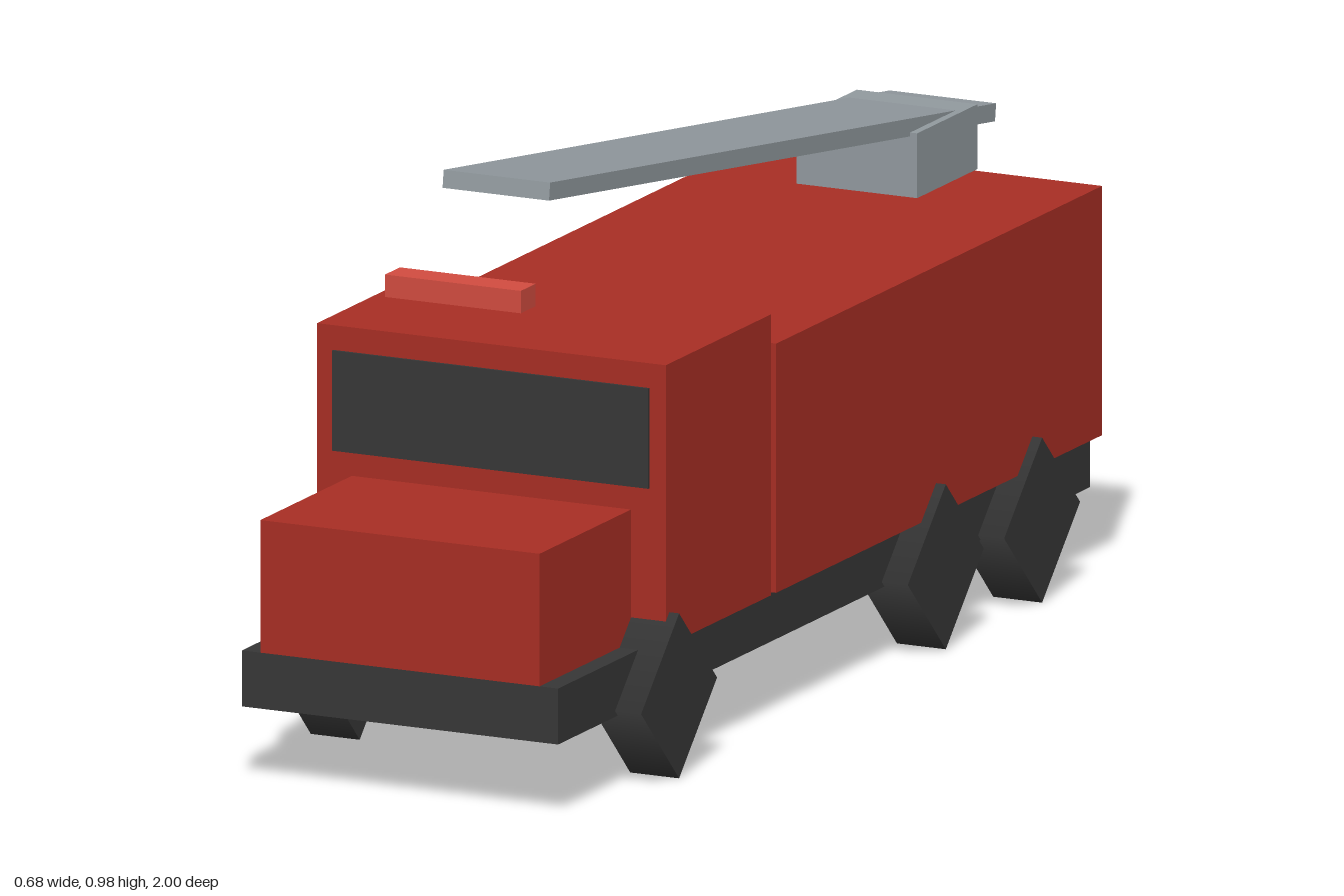
import * as THREE from 'three';

const paint = (name, color) => {
  const m = new THREE.MeshStandardMaterial({ color });
  m.name = name;
  return m;
};

export function createModel() {
  const truck = new THREE.Group();
  truck.name = 'ladderTruck';
  const red = paint('bodyRed', 0xa82e24);
  const lightRed = paint('lampRed', 0xd24c40);
  const dark = paint('charcoal', 0x373737);
  const grey = paint('ladderGrey', 0x929a9f);

  // Box given by its full width and its y and z ranges, centred on x
  const box = (name, mat, width, [y0, y1], [z0, z1]) => {
    const mesh = new THREE.Mesh(new THREE.BoxGeometry(width, y1 - y0, z1 - z0), mat);
    mesh.name = name;
    mesh.position.set(0, (y0 + y1) / 2, (z0 + z1) / 2);
    truck.add(mesh);
    return mesh;
  };

  // Chassis and bodywork
  box('chassis', dark, 0.582, [0.13, 0.225], [-0.96, 1.0]);
  box('hood', red, 0.514, [0.225, 0.45], [0.655, 1.0]);
  box('cab', red, 0.642, [0.225, 0.702], [0.275, 0.663]);
  box('rearBody', red, 0.642, [0.225, 0.648], [-0.945, 0.256]);
  box('windshield', dark, 0.582, [0.49, 0.66], [0.661, 0.668]);
  box('lightBar', lightRed, 0.25, [0.8, 0.838], [0.75, 0.805]);

  // Ladder on its mount, raised toward the front
  box('ladderMount', grey, 0.222, [0.662, 0.772], [-0.906, -0.684]);
  const ladder = box('ladder', grey, 0.196, [0.835, 0.865], [-1.007, 0.653]);
  ladder.position.y = 0.852;
  ladder.rotation.x = -0.14;

  // Four-sided wheels standing on a corner
  const wheelGeo = new THREE.CylinderGeometry(0.14, 0.14, 0.09, 4);
  wheelGeo.rotateZ(Math.PI / 2);
  const axles = { front: 0.65, middle: -0.333, rear: -0.688 };
  for (const [axle, z] of Object.entries(axles)) {
    for (const side of [1, -1]) {
      const wheel = new THREE.Mesh(wheelGeo, dark);
      wheel.name = axle + (side > 0 ? 'LeftWheel' : 'RightWheel');
      wheel.position.set(side * 0.294, 0.14, z);
      truck.add(wheel);
    }
  }
  return truck;
}
